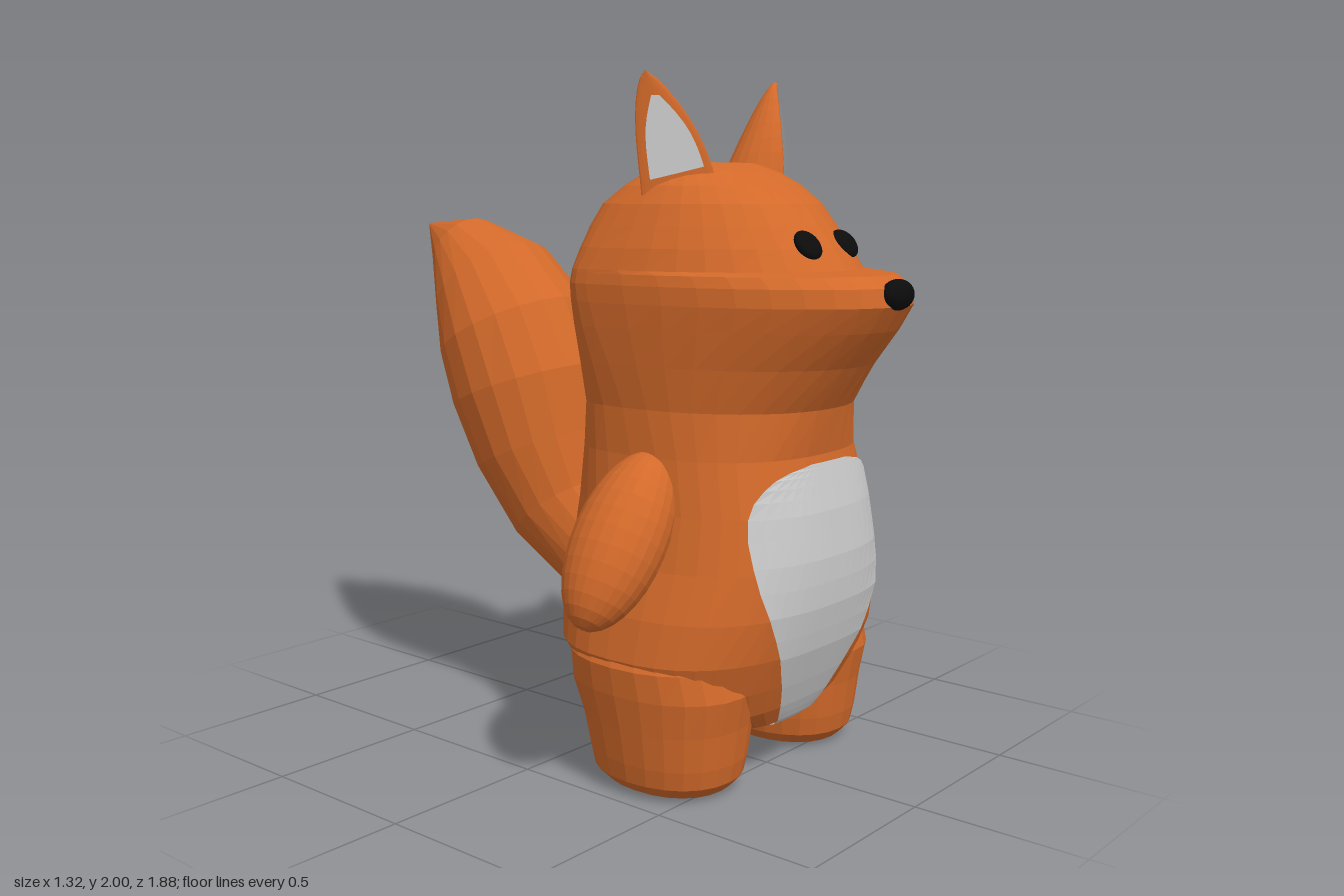
import * as THREE from 'three';

const { smoothstep, lerp } = THREE.MathUtils;
const material = (color) =>
  new THREE.MeshStandardMaterial({ color, flatShading: true, side: THREE.DoubleSide });
const fur = material(0xd2692a);
const black = material(0x0c0c0c);
const pale = material(0xcccccc);

// Surface through rows of points (rows stacked upwards, points running from +x to +z)
function sheet(rows) {
  const n = rows[0].length;
  const index = [];
  for (let i = 0; i < rows.length - 1; i++) {
    for (let j = 0; j < n - 1; j++) {
      const a = i * n + j, b = a + 1, c = a + n, d = c + 1;
      index.push(a, c, b, b, c, d);
    }
  }
  const geometry = new THREE.BufferGeometry();
  geometry.setAttribute('position', new THREE.Float32BufferAttribute(rows.flat(2), 3));
  geometry.setIndex(index);
  geometry.computeVertexNormals();
  return geometry;
}

// Closed cross-section: point(cos, sin) gives each corner
function ring(sides, point) {
  return Array.from({ length: sides + 1 }, (_, j) => {
    const a = ((j % sides) / sides) * Math.PI * 2;
    return point(Math.cos(a), Math.sin(a));
  });
}

// Closed skin over rings, both ends capped at their centres
function loft(rings) {
  const centre = (r) => {
    const c = [0, 1, 2].map((k) => r.slice(1).reduce((s, p) => s + p[k], 0) / (r.length - 1));
    return r.map(() => c);
  };
  return sheet([centre(rings[0]), ...rings, centre(rings[rings.length - 1])]);
}

const mirror = (rows) => rows.map((r) => r.map(([x, y, z]) => [-x, y, z]).reverse());
const power = (v, p) => Math.sign(v) * Math.abs(v) ** p;
const steps = (count) => Array.from({ length: count + 1 }, (_, i) => i / count);

// Body and head: y, half width, back z, widest z, front z
const BODY = [
  [0.13, 0.10, 0.25, 0.36, 0.50],
  [0.16, 0.25, 0.17, 0.36, 0.58],
  [0.22, 0.40, 0.09, 0.34, 0.615],
  [0.30, 0.47, 0, 0.32, 0.65],
  [0.40, 0.50, -0.085, 0.31, 0.69],
  [0.52, 0.475, -0.105, 0.31, 0.72],
  [0.65, 0.43, -0.09, 0.31, 0.73],
  [0.80, 0.395, -0.055, 0.31, 0.715],
  [0.95, 0.375, -0.02, 0.29, 0.685],
  [1.08, 0.37, 0, 0.26, 0.71],
  [1.20, 0.385, 0, 0.22, 0.79],
  [1.30, 0.395, 0, 0.18, 0.87],
  [1.37, 0.40, 0, 0.16, 0.915],
  [1.42, 0.40, 0, 0.15, 0.905],
  [1.45, 0.395, 0.005, 0.15, 0.86],
  [1.46, 0.393, 0.007, 0.15, 0.745],
  [1.52, 0.375, 0.015, 0.18, 0.70],
  [1.58, 0.35, 0.03, 0.20, 0.65],
  [1.64, 0.325, 0.06, 0.22, 0.60],
  [1.69, 0.29, 0.11, 0.25, 0.53],
  [1.73, 0.24, 0.16, 0.27, 0.45],
  [1.755, 0.16, 0.20, 0.28, 0.38],
];
// The belly is squarer in front, the upper back squarer behind
const frontRoundness = (y) => 2.65 - 0.55 * smoothstep(y, 0.85, 1.15);
const backRoundness = (y) =>
  2.2 + 0.8 * smoothstep(y, 0.6, 1.05) - 0.8 * smoothstep(y, 1.62, 1.76);

function bodyRing([y, w, back, mid, front]) {
  return ring(40, (c, s) => {
    const p = 2 / (s > 0 ? frontRoundness(y) : backRoundness(y));
    return [w * power(c, p), y, mid + (s > 0 ? front - mid : mid - back) * power(s, p)];
  });
}

// Front of the body at a given x and y
function bodyFront(x, y) {
  const i = BODY.findIndex((r) => r[0] >= y);
  const lo = BODY[i - 1], hi = BODY[i];
  const t = (y - lo[0]) / (hi[0] - lo[0]);
  const [, w, , mid, front] = lo.map((v, k) => lerp(v, hi[k], t));
  const n = frontRoundness(y);
  return mid + (front - mid) * Math.max(0, 1 - Math.abs(x / w) ** n) ** (1 / n);
}

// Belly patch: half width against height, laid just over the body
const bellyEdge = new THREE.SplineCurve([
  [0.06, 0.14], [0.10, 0.20], [0.15, 0.30], [0.205, 0.40], [0.292, 0.60],
  [0.298, 0.80], [0.215, 0.90], [0.08, 0.932],
].map(([h, y]) => new THREE.Vector2(h, y)));
const bellyRows = bellyEdge.getPoints(21).map(({ x: h, y }) =>
  steps(16).map((k) => {
    const x = h * (1 - 2 * k);
    return [x, y, bodyFront(x, y) + 0.012];
  }));

// Leg: y, centre x, half width, centre z, half depth
const legRings = [
  [0, 0.28, 0.11, 0.36, 0.13],
  [0.012, 0.28, 0.155, 0.36, 0.185],
  [0.045, 0.28, 0.185, 0.355, 0.22],
  [0.10, 0.28, 0.195, 0.355, 0.232],
  [0.20, 0.28, 0.208, 0.35, 0.25],
  [0.30, 0.285, 0.217, 0.34, 0.28],
  [0.38, 0.29, 0.217, 0.33, 0.27],
  [0.52, 0.26, 0.16, 0.32, 0.20],
].map(([y, cx, rx, cz, rz]) =>
  ring(24, (c, s) => [cx + rx * power(c, 0.9), y, cz + rz * power(s, 0.9)]));

// Ear at height t: a cone with a flat face turned out and forward
const earWidth = (t) => 0.107 * (1 - t ** 2.2) ** 0.75;
const earDepth = (t) => 0.2 * (1 - t) ** 0.8;
function earPoint(t, along, out) {
  const cx = 0.23 + 0.07 * t ** 1.5;
  return [
    cx + (along + out) * Math.SQRT1_2,
    1.64 + 0.36 * t,
    0.58 - cx + (out - along) * Math.SQRT1_2,
  ];
}
const earRings = steps(9).map((u) => {
  const t = 1 - (1 - u) ** 1.3;
  return ring(24, (c, s) => earPoint(t, earWidth(t) * c, s * (s > 0 ? 0.01 : earDepth(t))));
});
const innerEarRows = steps(8).map((u) =>
  steps(6).map((k) => {
    const side = 1 - 2 * k;
    const t = lerp(0.23 - 0.05 * side, 0.81, u);
    return earPoint(t, side * earWidth(t) * 0.75 * (1 - 0.7 * u ** 4), 0.016);
  }));

// Tail: z, y, half thickness, half width
const TAIL = [
  [-0.02, 0.50, 0.11, 0.09],
  [-0.16, 0.535, 0.15, 0.13],
  [-0.30, 0.67, 0.19, 0.19],
  [-0.39, 0.85, 0.23, 0.24],
  [-0.455, 1.05, 0.26, 0.272],
  [-0.53, 1.23, 0.245, 0.27],
  [-0.63, 1.38, 0.195, 0.225],
  [-0.77, 1.49, 0.115, 0.135],
  [-0.94, 1.565, 0.006, 0.006],
];
const tailRings = TAIL.map(([z, y, thick, wide], i) => {
  const a = TAIL[Math.max(0, i - 1)], b = TAIL[Math.min(TAIL.length - 1, i + 1)];
  const len = Math.hypot(b[0] - a[0], b[1] - a[1]);
  const tz = (b[0] - a[0]) / len, ty = (b[1] - a[1]) / len;
  return ring(20, (c, s) => [wide * c, y - tz * thick * s, z + ty * thick * s]);
});

export function createModel() {
  const model = new THREE.Group();
  const add = (name, geometry, mat) => {
    const mesh = new THREE.Mesh(geometry, mat);
    mesh.name = name;
    model.add(mesh);
    return mesh;
  };
  const ball = (name, mat, size, position, tiltX = 0, tiltZ = 0) => {
    const mesh = add(name, new THREE.SphereGeometry(1, 24, 16).scale(...size), mat);
    mesh.position.set(...position);
    mesh.rotation.set(tiltX, 0, tiltZ);
  };

  add('body', loft(BODY.map(bodyRing)), fur);
  add('bellyPatch', sheet(bellyRows), pale);
  add('tail', loft(tailRings), fur);
  ball('nose', black, [0.064, 0.042, 0.035], [0, 1.402, 0.905]);

  // Paired parts
  for (const side of [1, -1]) {
    const label = side > 0 ? 'left' : 'right';
    const sided = (rows) => (side > 0 ? rows : mirror(rows));
    add(label + 'Leg', loft(sided(legRings)), fur);
    add(label + 'Ear', loft(sided(earRings)), fur);
    add(label + 'InnerEar', sheet(sided(innerEarRows)), pale);
    ball(label + 'Arm', fur, [0.125, 0.268, 0.135], [side * 0.475, 0.735, 0.34], 0, side * 0.62);
    ball(label + 'Eye', black, [0.049, 0.046, 0.022], [side * 0.09, 1.53, 0.678], -0.65);
  }
  return model;
}
